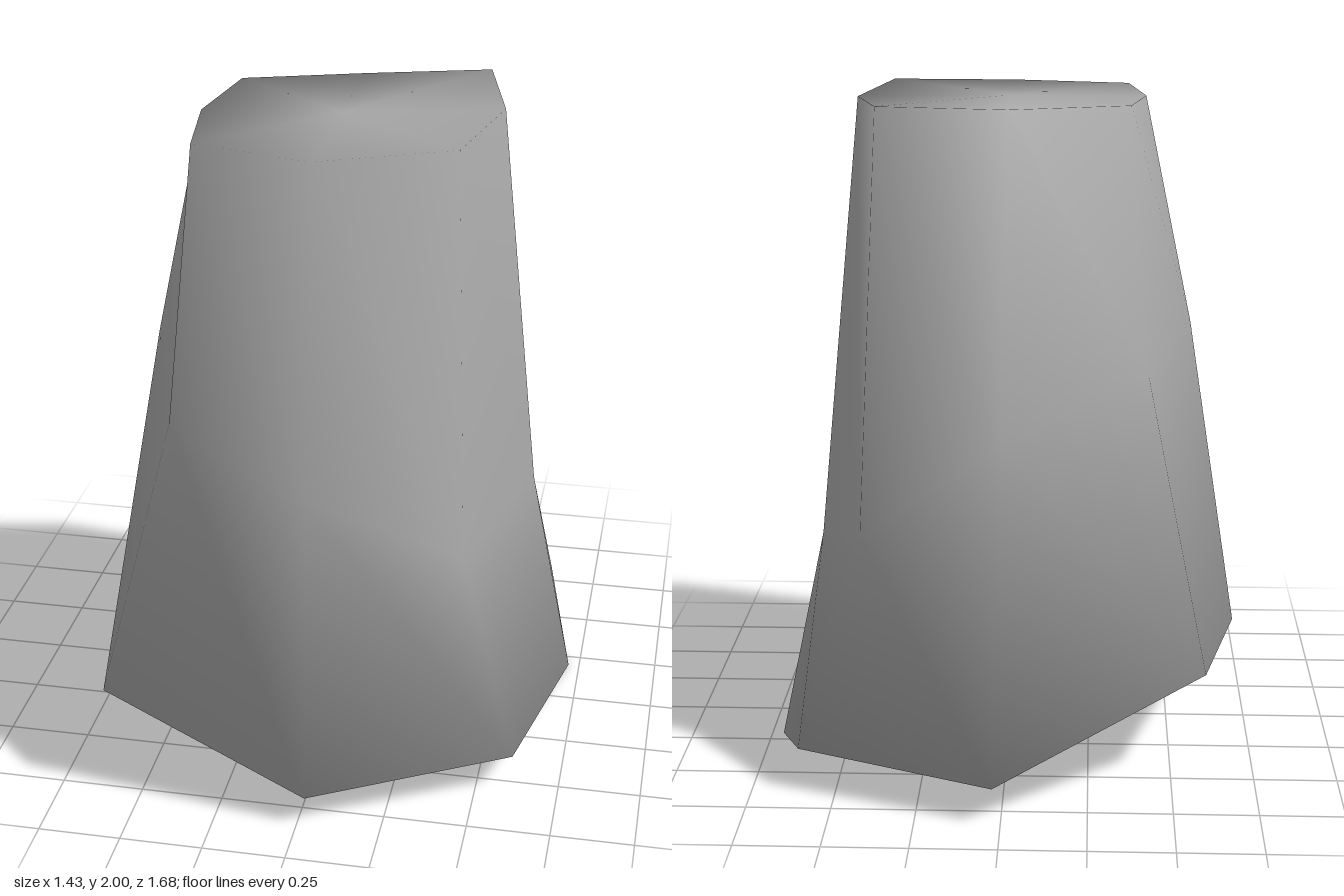
import * as THREE from 'three';

// Smooth closed skin over eight-sided rings (top to bottom), each cap fanned from a centre point.
function ringSkin(rings, topCentre, bottomCentre) {
  const n = 8;
  const points = [...rings.flat(), topCentre, bottomCentre];
  const top = rings.length * n;
  const bottom = top + 1;
  const last = top - n;
  const index = [];
  for (let i = 0; i < n; i++) {
    const j = (i + 1) % n;
    index.push(top, j, i);
    for (let r = 0; r < last; r += n) {
      index.push(r + i, r + j, r + n + i);
      index.push(r + j, r + n + j, r + n + i);
    }
    index.push(bottom, last + i, last + j);
  }
  const geometry = new THREE.BufferGeometry();
  geometry.setAttribute('position', new THREE.Float32BufferAttribute(points.flat(), 3));
  geometry.setIndex(index);
  geometry.computeVertexNormals();
  return geometry;
}

export function createModel() {
  const model = new THREE.Group();
  const grey = new THREE.MeshStandardMaterial({ color: 0xa6a6a6 });
  grey.name = 'stone grey';

  // Every ring runs back, back left, left, front left, front, front right, right, back right.
  const rim = [
    [0, 1.985, -0.29], [0.38, 2, -0.35], [0.465, 1.99, 0], [0.39, 2, 0.42],
    [0, 1.985, 0.55], [-0.36, 1.985, 0.46], [-0.41, 1.98, 0.14], [-0.36, 1.985, -0.17],
  ];
  const waist = [
    [0.01, 1.03, -0.53], [0.43, 0.75, -0.48], [0.57, 0.68, -0.23], [0.43, 0.74, 0.44],
    [0, 1, 0.67], [-0.43, 1.15, 0.54], [-0.56, 1.27, 0.15], [-0.42, 1.2, -0.3],
  ];
  const foot = [
    [0.025, 0.11, -0.84], [0.61, 0.13, -0.62], [0.715, 0, -0.2], [0.61, 0.12, 0.54],
    [0.025, 0.1, 0.84], [-0.6, 0.36, 0.77], [-0.72, 0.26, 0.19], [-0.6, 0.33, -0.49],
  ];

  // Tapered trunk that flares out to an uneven foot
  const trunk = new THREE.Mesh(
    ringSkin([rim, waist, foot], [0, 1.985, 0.1], [0.03, 0.045, 0.15]), grey);
  trunk.name = 'trunk';
  model.add(trunk);

  return model;
}
